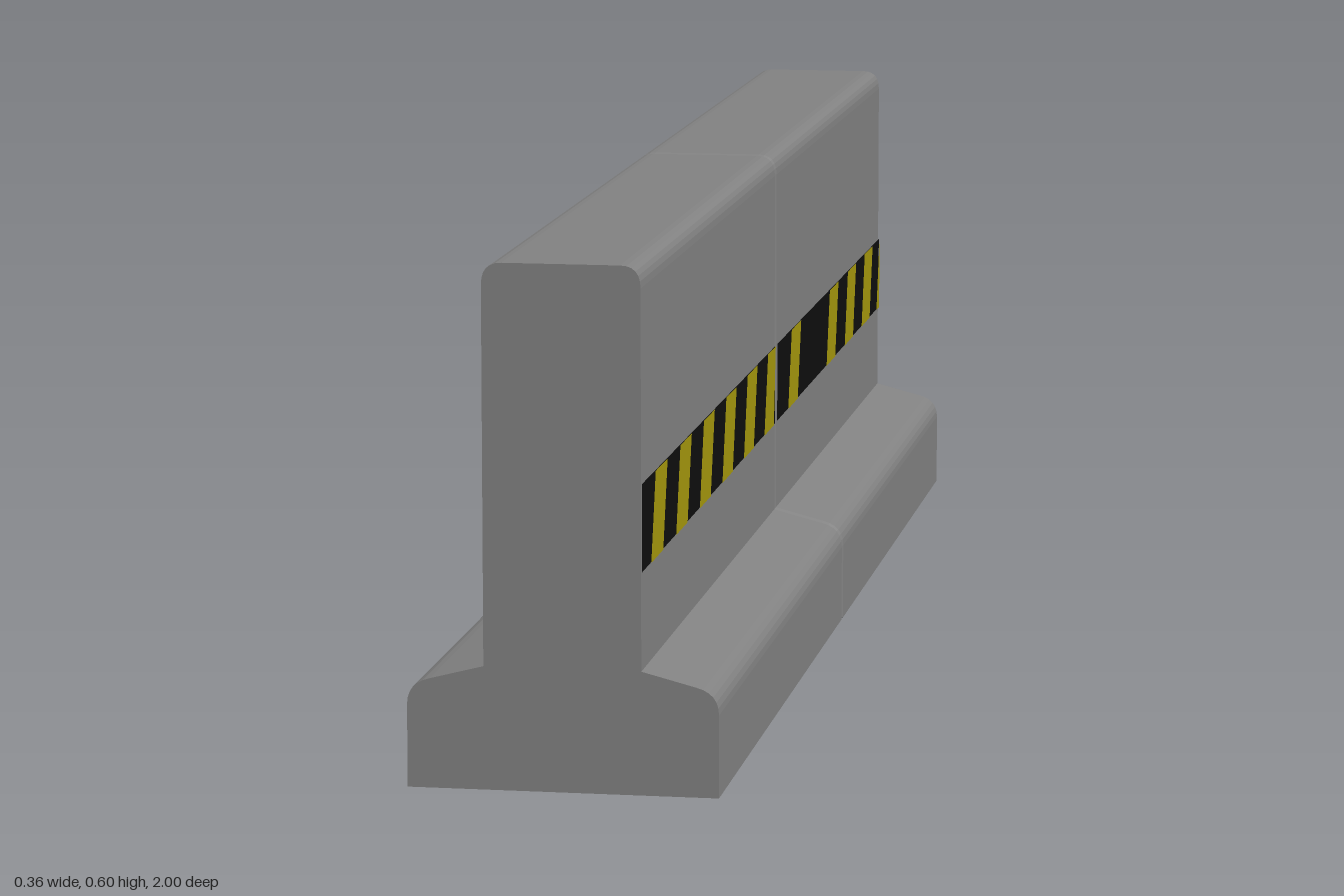
import * as THREE from 'three';

const concrete = new THREE.MeshStandardMaterial({ name: 'concrete grey', color: 0x828282 });
const black = new THREE.MeshStandardMaterial({ name: 'stripe black', color: 0x0e0e0e });
const yellow = new THREE.MeshStandardMaterial({ name: 'stripe yellow', color: 0xa6990d });

const WALL = 0.09, FOOT = 0.178, TOP = 0.6;
const BEVEL = 0.007;
const BAND_Y0 = 0.255, BAND_Y1 = 0.355;

// Cross-section: wide foot with sloped shoulders and a tall rounded wall
function profile() {
  const s = new THREE.Shape();
  s.moveTo(-FOOT, 0);
  s.lineTo(FOOT, 0);
  s.lineTo(FOOT, 0.095);
  s.quadraticCurveTo(FOOT, 0.12, 0.152, 0.126);
  s.lineTo(WALL, 0.142);
  s.lineTo(WALL, 0.575);
  s.quadraticCurveTo(WALL, TOP, 0.067, TOP);
  s.lineTo(-0.067, TOP);
  s.quadraticCurveTo(-WALL, TOP, -WALL, 0.575);
  s.lineTo(-WALL, 0.142);
  s.lineTo(-0.152, 0.126);
  s.quadraticCurveTo(-FOOT, 0.12, -FOOT, 0.095);
  return s;
}

// One barrier segment: a long prism plus a bevelled end at the joint
function segment(name) {
  const g = new THREE.Group();
  g.name = name;
  const body = new THREE.Mesh(
    new THREE.ExtrudeGeometry(profile(), { depth: 1 - BEVEL, bevelEnabled: false, curveSegments: 6 }), concrete);
  body.name = 'segmentBody';
  body.position.z = BEVEL;
  const joint = new THREE.Mesh(
    new THREE.ExtrudeGeometry(profile(), {
      depth: 0.0005, bevelThickness: BEVEL, bevelSize: BEVEL, bevelOffset: -BEVEL,
      bevelSegments: 2, curveSegments: 6,
    }), concrete);
  joint.name = 'jointBevel';
  joint.position.z = BEVEL;
  g.add(body, joint);
  return g;
}

// Slanted quad clipped to the band between u0 and u1
function slanted(a, b, slant, u0, u1) {
  const c = (u) => THREE.MathUtils.clamp(u, u0, u1);
  return new THREE.Shape([
    new THREE.Vector2(c(a), BAND_Y0), new THREE.Vector2(c(b), BAND_Y0),
    new THREE.Vector2(c(b + slant), BAND_Y1), new THREE.Vector2(c(a + slant), BAND_Y1),
  ]);
}

// Warning band: black strip with yellow slanted stripes, drawn in (u, y)
function band(name, u0, u1, starts, width) {
  const g = new THREE.Group();
  g.name = name;
  const base = new THREE.Mesh(new THREE.ShapeGeometry(slanted(u0, u1, 0, u0, u1)), black);
  base.name = 'blackBand';
  base.position.z = WALL + 0.001;
  const stripes = new THREE.Mesh(
    new THREE.ShapeGeometry(starts.map((a) => slanted(a, a + width, 0.03, u0, u1))), yellow);
  stripes.name = 'yellowStripes';
  stripes.position.z = WALL + 0.002;
  g.add(base, stripes);
  return g;
}

export function createModel() {
  const model = new THREE.Group();
  model.name = 'roadBarrier';

  const front = segment('frontSegment');
  const back = segment('backSegment');
  back.rotation.y = Math.PI;
  model.add(front, back);

  // Left side: u runs towards the back
  const left = new THREE.Group();
  left.name = 'leftBands';
  const regular = Array.from({ length: 6 }, (_, k) => -0.945 + 0.168 * k);
  left.add(
    band('leftFrontBand', -1, -0.01, regular, 0.08),
    band('leftBackBand', 0.01, 1, [0.1, 0.455, 0.635, 0.81, 0.97], 0.085));
  left.rotation.y = Math.PI / 2;

  // Right side: u runs towards the front, with wider black gaps
  const right = new THREE.Group();
  right.name = 'rightBands';
  right.add(
    band('rightBackBand', -1, -0.01, [-0.89, -0.61, -0.33], 0.12),
    band('rightFrontBand', 0.01, 1, [0.08, 0.36, 0.635], 0.12));
  right.rotation.y = -Math.PI / 2;

  model.add(left, right);
  return model;
}
